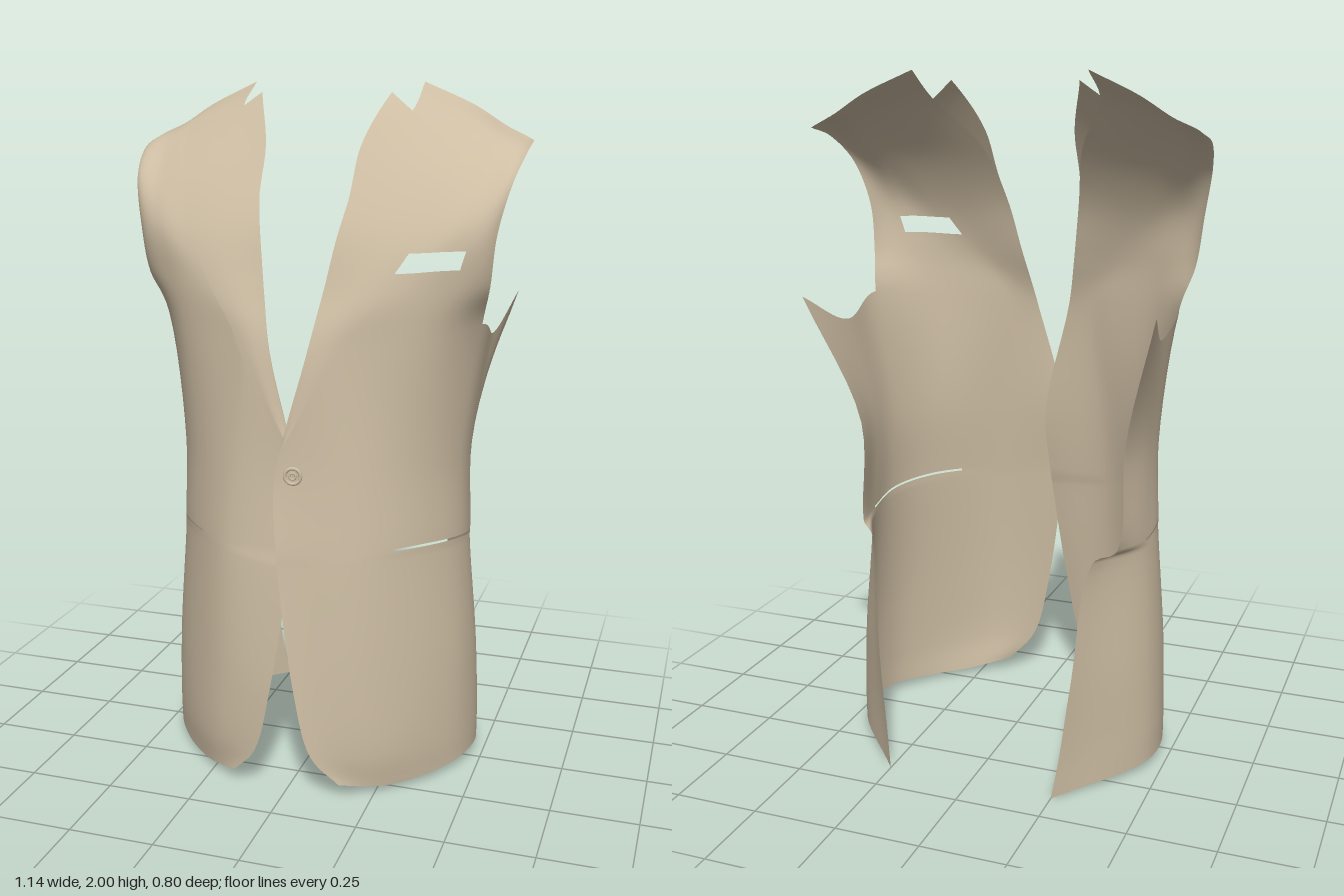
import * as THREE from 'three';

const cloth = new THREE.MeshStandardMaterial({ color: 0xcdbda3, side: THREE.DoubleSide });
cloth.name = 'tan cloth';

const spline = (pts) => new THREE.CatmullRomCurve3(pts);
const column = (rows) => spline(rows.map((p) => new THREE.Vector3(...p)));

// Vertical guide lines of one half, from the hem up; the first four run to the shoulder
const frontEdge = column([
  [0.16, 0.04, 0.365], [0.085, 0.13, 0.395], [0.035, 0.33, 0.4], [-0.015, 0.68, 0.385],
  [-0.02, 0.74, 0.382], [-0.03, 0.93, 0.362], [0.055, 1.29, 0.33], [0.085, 1.45, 0.275],
  [0.115, 1.62, 0.22], [0.155, 1.78, 0.12], [0.25, 1.92, -0.02], [0.255, 2.0, -0.15]]);
const lapelLine = column([
  [0.27, 0.018, 0.29], [0.25, 0.12, 0.32], [0.22, 0.35, 0.335], [0.2, 0.7, 0.325],
  [0.2, 0.735, 0.322], [0.18, 0.96, 0.31], [0.15, 1.3, 0.3], [0.24, 1.45, 0.26],
  [0.335, 1.61, 0.19], [0.39, 1.76, 0.085], [0.42, 1.88, -0.055], [0.4, 1.935, -0.165]]);
const dartLine = column([
  [0.39, 0.02, 0.17], [0.39, 0.12, 0.18], [0.385, 0.35, 0.18], [0.36, 0.7, 0.18],
  [0.36, 0.735, 0.18], [0.35, 0.96, 0.18], [0.36, 1.31, 0.2], [0.39, 1.46, 0.195],
  [0.44, 1.61, 0.165], [0.475, 1.74, 0.075], [0.495, 1.845, -0.05], [0.49, 1.88, -0.165]]);
const armholeLine = column([
  [0.462, 0.03, 0.04], [0.462, 0.12, 0.04], [0.455, 0.35, 0.04], [0.43, 0.69, 0.04],
  [0.43, 0.722, 0.04], [0.425, 0.96, 0.04], [0.475, 1.345, 0.035], [0.505, 1.46, 0.095],
  [0.522, 1.6, 0.11], [0.55, 1.73, 0.065], [0.57, 1.81, -0.04], [0.57, 1.84, -0.16]]);
const sideLine = column([
  [0.46, 0.022, -0.13], [0.46, 0.12, -0.13], [0.45, 0.35, -0.13], [0.43, 0.67, -0.1],
  [0.43, 0.7, -0.1], [0.43, 0.96, -0.08], [0.475, 1.29, -0.15]]);
const backEdge = column([
  [0.25, 0, -0.4], [0.265, 0.1, -0.385], [0.295, 0.35, -0.365], [0.335, 0.685, -0.31],
  [0.39, 0.71, -0.255], [0.4, 1.0, -0.232], [0.51, 1.385, -0.355]]);

const UNDERARM = 6, SHOULDER = 11;

// Point on the cloth: u counts guide lines from front to back, v counts rows upwards
function surface(u, v) {
  const pts = [frontEdge, lapelLine, dartLine, armholeLine].map((c) => c.getPoint(v / SHOULDER));
  const low = Math.min(v, UNDERARM);
  const anchor = armholeLine.getPoint(low / SHOULDER);
  for (const c of [sideLine, backEdge]) {
    pts.push(c.getPoint(low / UNDERARM).sub(anchor).add(pts[3]));
  }
  return spline(pts).getPoint(u / 5);
}

// Outward normal of the cloth by small differences
function outward(u, v) {
  const e = 0.02, p = surface(u, v);
  const du = surface(u + e, v).sub(p), dv = surface(u, v + e).sub(p);
  return du.cross(dv).normalize();
}

// Grid of points, mirrored for the right half; keep() leaves out cells
function sheet(name, point, nu, nv, sign, keep = () => true) {
  const pos = [], index = [];
  for (let j = 0; j <= nv; j++) {
    for (let i = 0; i <= nu; i++) {
      const p = point(i, j);
      pos.push(p.x * sign, p.y, p.z);
    }
  }
  for (let j = 0; j < nv; j++) {
    for (let i = 0; i < nu; i++) {
      if (!keep(i, j)) continue;
      const a = j * (nu + 1) + i, b = a + 1, c = a + nu + 1, d = c + 1;
      if (sign > 0) index.push(a, b, d, a, d, c);
      else index.push(a, d, b, a, c, d);
    }
  }
  const geo = new THREE.BufferGeometry();
  geo.setAttribute('position', new THREE.Float32BufferAttribute(pos, 3));
  geo.setIndex(index);
  geo.computeVertexNormals();
  const mesh = new THREE.Mesh(geo, cloth);
  mesh.name = name;
  return mesh;
}

// The right half tucks behind the left one where they overlap
function tuck(p, u, v, sign) {
  if (sign < 0 && u < 1 && v > 2 && v < 7) {
    p.z -= 0.02 * (1 - u) * Math.sin(((v - 2) / 5) * Math.PI);
  }
  return p;
}

function bodyPanel(sign) {
  const R = 8, S = 6;
  const keep = (i, j) => {
    const u = (i + 0.5) / R, v = (j + 0.5) / S;
    if (v > UNDERARM && u > 3) return false; // armhole
    if (u > 1.5 && u < 4 && v > 3.83 && v < 4) return false; // hip pocket slit
    return !(sign > 0 && u > 1 && u < 2.25 && v > 7.33 && v < 7.67); // breast pocket
  };
  return sheet(sign > 0 ? 'leftPanel' : 'rightPanel',
    (i, j) => tuck(surface(i / R, j / S), i / R, j / S, sign), 5 * R, SHOULDER * S, sign, keep);
}

function lapel(sign) {
  const NU = 12, NV = 44, start = 5.28;
  const point = (i, j) => {
    const w = i / NU;
    const notch = 1 - Math.min(1, Math.abs(w - 0.5) / 0.5);
    const v = start + (10 - 0.35 * notch - start) * (j / NV);
    const u = w * Math.min(1, (v - start) / (UNDERARM - start));
    const p = tuck(surface(u, v), u, v, sign);
    p.addScaledVector(outward(u, v), 0.003 + 0.009 * Math.sin(Math.min(1, w * 1.4) * Math.PI / 2));
    // the upper inner corner stands away from the neckline
    const lift = THREE.MathUtils.smoothstep(v, 8.3, 10) * (1 - w);
    return p.add(new THREE.Vector3(-0.06, 0.05, -0.005).multiplyScalar(lift));
  };
  return sheet(sign > 0 ? 'leftLapel' : 'rightLapel', point, NU, NV, sign);
}

function button() {
  const group = new THREE.Group();
  group.name = 'button';
  const disc = new THREE.Mesh(new THREE.CylinderGeometry(0.025, 0.025, 0.008, 32), cloth);
  disc.name = 'buttonDisc';
  disc.rotation.x = Math.PI / 2;
  const rim = new THREE.Mesh(new THREE.TorusGeometry(0.022, 0.005, 10, 32), cloth);
  rim.name = 'buttonRim';
  rim.position.z = 0.003;
  const boss = new THREE.Mesh(new THREE.TorusGeometry(0.009, 0.003, 8, 20), cloth);
  boss.name = 'buttonBoss';
  boss.position.z = 0.004;
  group.add(disc, rim, boss);
  group.position.set(0.025, 0.955, 0.362);
  group.rotation.y = 0.15;
  return group;
}

export function createModel() {
  const model = new THREE.Group();
  model.name = 'jacketFront';
  for (const sign of [1, -1]) model.add(bodyPanel(sign), lapel(sign));
  model.add(button());
  return model;
}
